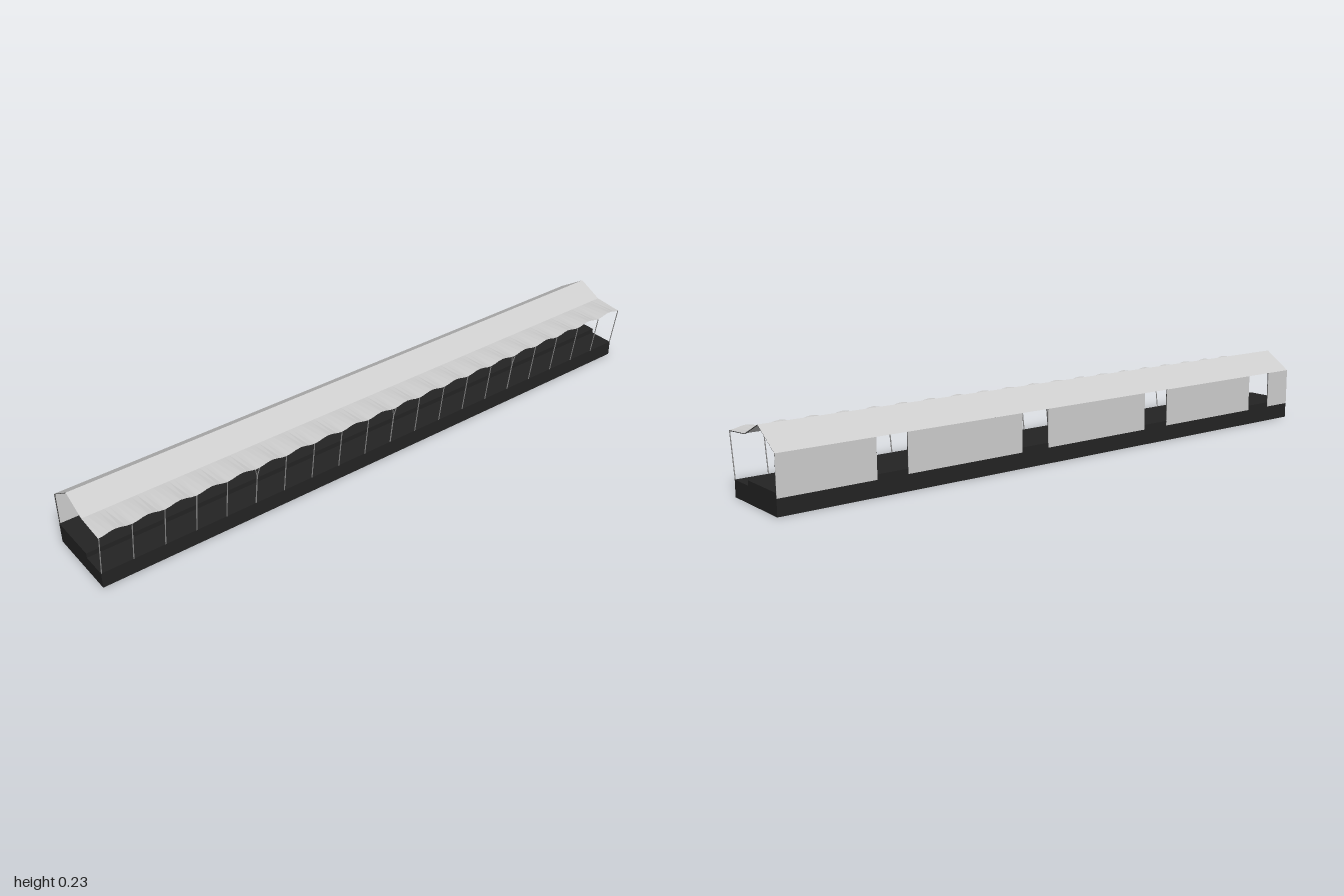
import * as THREE from 'three';

export function createModel() {
  const model = new THREE.Group();
  const mat = (name, color, side = THREE.FrontSide) => {
    const m = new THREE.MeshStandardMaterial({ color, side });
    m.name = name;
    return m;
  };
  const dark = mat('dark platform', 0x232323);
  const sheet = mat('pale grey sheet', 0xcccccc, THREE.DoubleSide);
  const steel = mat('steel grey', 0x8c8c8c);
  const rafterMat = mat('rafter charcoal', 0x3a3a3a);

  const add = (name, geometry, material, parent = model) => {
    const mesh = new THREE.Mesh(geometry, material);
    mesh.name = name;
    parent.add(mesh);
    return mesh;
  };
  const box = (name, x0, x1, y0, y1, z0, z1, material) =>
    add(name, new THREE.BoxGeometry(x1 - x0, y1 - y0, z1 - z0), material)
      .position.set((x0 + x1) / 2, (y0 + y1) / 2, (z0 + z1) / 2);
  // Thin bar between two points, w wide along z and t thick across
  const bar = (name, a, b, w, t, material, parent) => {
    const p = new THREE.Vector3(...a), q = new THREE.Vector3(...b);
    const dir = q.clone().sub(p);
    const mesh = add(name, new THREE.BoxGeometry(t, dir.length(), w), material, parent);
    mesh.position.copy(p).add(q).multiplyScalar(0.5);
    mesh.quaternion.setFromUnitVectors(new THREE.Vector3(0, 1, 0), dir.normalize());
  };

  // Platform with a raised back step
  const section = new THREE.Shape([
    [-0.134, 0], [0.113, 0], [0.113, 0.05], [0.03, 0.05], [0.03, 0.065], [-0.134, 0.065],
  ].map(([x, y]) => new THREE.Vector2(x, y)));
  const platform = new THREE.ExtrudeGeometry(section, { depth: 2, bevelEnabled: false });
  platform.translate(0, 0, -1);
  add('platform', platform, dark);

  // Back wall, one panel per bay, every fifth bay left open as a doorway
  for (let i = 0; i < 20; i++) {
    if (i % 5 === 3) continue;
    const z = -1 + i * 0.1;
    box('wallPanel', -0.1352, -0.1338, 0.05, 0.17, z, z + 0.1, sheet);
  }

  // Roof strips lofted between two edges; edge(z) returns [x, y]
  const strip = (name, edgeA, edgeB, n) => {
    const pos = [], idx = [];
    for (let i = 0; i <= n; i++) {
      const z = -1 + (2 * i) / n;
      pos.push(...edgeA(z), z, ...edgeB(z), z);
      if (i < n) {
        const k = i * 2;
        idx.push(k, k + 2, k + 1, k + 1, k + 2, k + 3);
      }
    }
    let g = new THREE.BufferGeometry();
    g.setAttribute('position', new THREE.Float32BufferAttribute(pos, 3));
    g.setIndex(idx);
    g = g.toNonIndexed();
    g.computeVertexNormals();
    add(name, g, sheet);
  };
  const eave = [-0.135, 0.17], ridge = [-0.044, 0.23], valley = [0.037, 0.192];
  // Canopy edge dips at each post and rises between them
  const wave = (z) => [0.132, 0.1845 + 0.0045 * (1 - Math.cos(z * Math.PI * 20))];
  strip('backRoof', () => eave, () => ridge, 1);
  strip('frontRoof', () => ridge, () => valley, 1);
  strip('wavyCanopy', () => valley, wave, 120);

  // Frames: back post, rafters and leaning front post at every bay line
  for (let i = 0; i <= 20; i++) {
    const z = Math.max(-0.9985, Math.min(0.9985, -1 + i * 0.1));
    const frame = new THREE.Group();
    frame.name = 'frame';
    model.add(frame);
    const at = ([x, y], drop = 0.0012) => [x, y - drop, z];
    bar('backPost', [-0.133, 0.06, z], [-0.133, 0.17, z], 0.002, 0.0015, rafterMat, frame);
    bar('backRafter', at(eave), at(ridge), 0.002, 0.0012, rafterMat, frame);
    bar('frontRafter', at(ridge), at(valley), 0.002, 0.0012, rafterMat, frame);
    bar('canopyRafter', at(valley), at([0.132, 0.1845]), 0.002, 0.002, rafterMat, frame);
    // Three middle frames carry forked posts
    if (i === 5 || i === 10 || i === 15) {
      bar('frontPost', [0.1125, 0.05, z], [0.128, 0.155, z], 0.003, 0.002, steel, frame);
      for (const s of [-1, 1])
        bar('postFork', [0.128, 0.155, z], [0.132, 0.185, z + s * 0.007], 0.002, 0.002, steel, frame);
    } else {
      bar('frontPost', [0.1125, 0.05, z], [0.132, 0.184, z], 0.0025, 0.002, steel, frame);
    }
  }
  return model;
}
